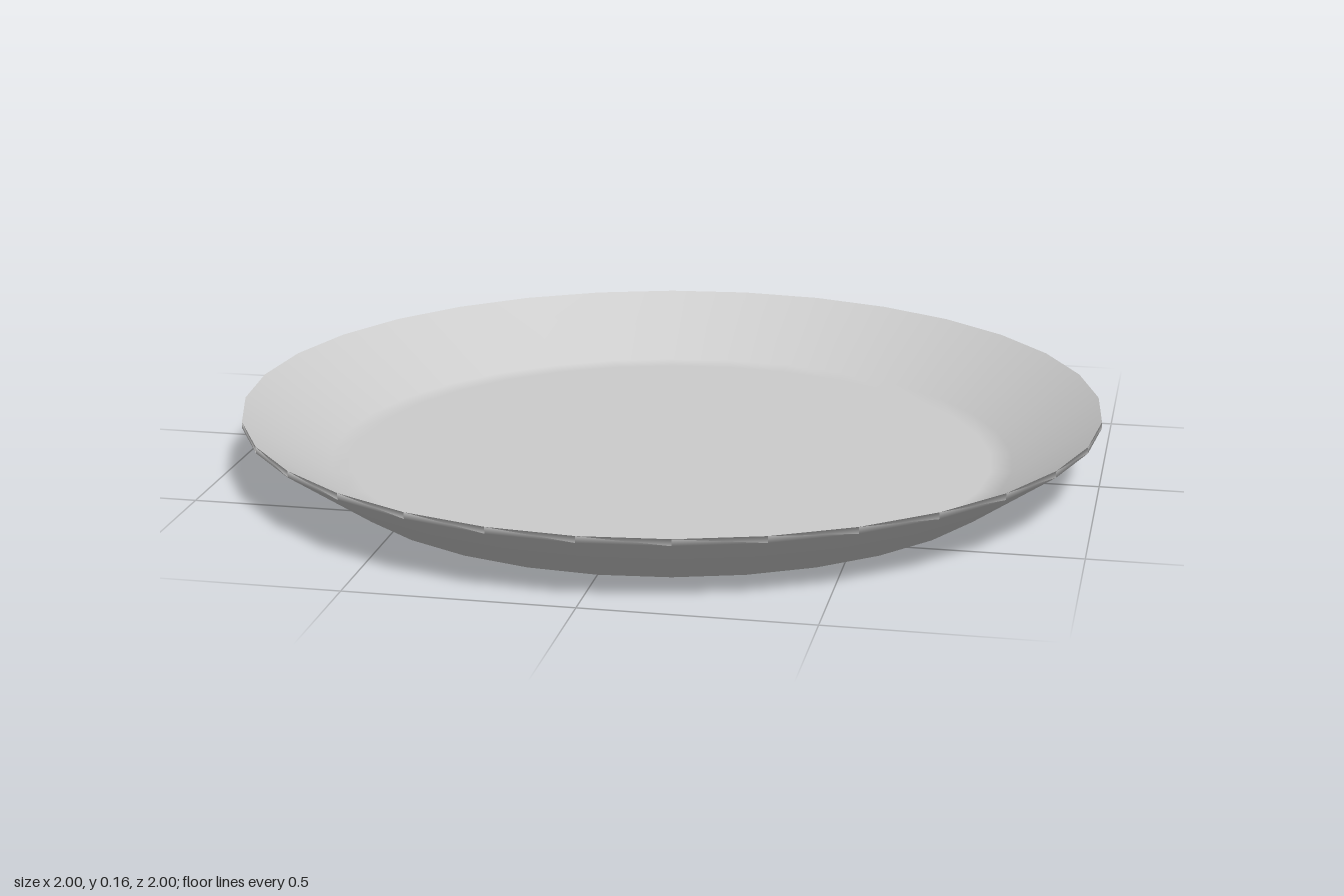
import * as THREE from 'three';

export function createModel() {
  const model = new THREE.Group();
  model.name = 'shallowPlate';

  // Closed profile: underside, flared wall, thin rim, inner wall, floor
  const profile = [
    [0, 0], [0.78, 0], [0.8, 0],
    [1, 0.14], [1, 0.155],
    [0.8, 0.022], [0.75, 0.018], [0, 0.018],
  ].map(([r, y]) => new THREE.Vector2(r, y));

  const plate = new THREE.Mesh(
    new THREE.LatheGeometry(profile, 32),
    new THREE.MeshStandardMaterial({ color: 0xcccccc, side: THREE.DoubleSide })
  );
  plate.name = 'plate';
  model.add(plate);
  return model;
}
